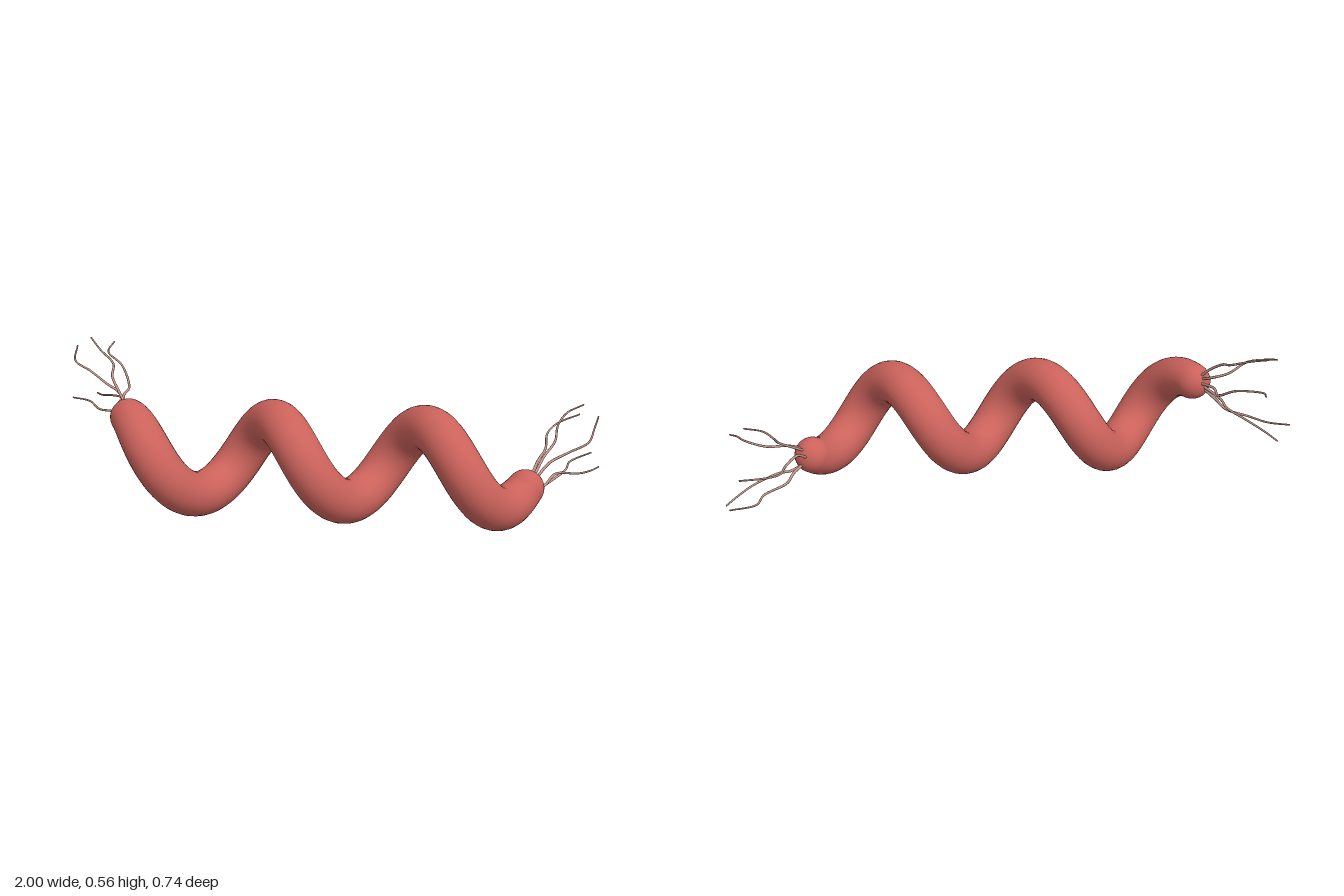
import * as THREE from 'three';

const bodyRed = new THREE.MeshStandardMaterial({ color: 0xcb625b });
bodyRed.name = 'bodyRed';
const flagellumPink = new THREE.MeshStandardMaterial({ color: 0xc4978a });
flagellumPink.name = 'flagellumPink';

// Corkscrew centre line running along x
const PITCH = 0.54, COIL = 0.135, CENTER_Y = 0.216, CENTER_Z = 0.156;
const START_X = -0.70, END_X = 0.718;
class Helix extends THREE.Curve {
  getPoint(t, target = new THREE.Vector3()) {
    const x = THREE.MathUtils.lerp(START_X, END_X, t);
    const a = 2 * Math.PI * (x + 0.155) / PITCH;
    return target.set(x, CENTER_Y + COIL * Math.cos(a), CENTER_Z + COIL * Math.sin(a));
  }
}

// Tube whose radius follows a function of the position along the curve
function taperedTube(curve, segments, sides, radiusAt) {
  const geometry = new THREE.TubeGeometry(curve, segments, 1, sides, false);
  const pos = geometry.attributes.position;
  const p = new THREE.Vector3();
  for (let i = 0; i <= segments; i++) {
    const center = curve.getPointAt(i / segments);
    const radius = radiusAt(i / segments);
    for (let j = 0; j <= sides; j++) {
      const k = i * (sides + 1) + j;
      p.fromBufferAttribute(pos, k).sub(center).multiplyScalar(radius).add(center);
      pos.setXYZ(k, p.x, p.y, p.z);
    }
  }
  return geometry;
}

function addMesh(parent, name, geometry, material) {
  const mesh = new THREE.Mesh(geometry, material);
  mesh.name = name;
  parent.add(mesh);
  return mesh;
}

// Wavy path of each flagellum, from its root inside the cap to its tip
const leftFlagella = [
  [[0.73, 0.12, 0.03], [0.76, 0.175, -0.05], [0.79, 0.19, -0.15], [0.80, 0.215, -0.26], [0.84, 0.235, -0.32], [0.92, 0.255, -0.37]],
  [[0.74, 0.10, 0.04], [0.78, 0.09, -0.02], [0.80, 0.08, -0.08], [0.87, 0.095, -0.19], [0.89, 0.10, -0.27], [0.97, 0.117, -0.33]],
  [[0.74, 0.095, 0.05], [0.79, 0.097, -0.02], [0.83, 0.12, -0.08], [0.91, 0.105, -0.13], [0.96, 0.095, -0.19], [0.995, 0.09, -0.25]],
  [[0.74, 0.14, 0.05], [0.78, 0.20, -0.03], [0.82, 0.245, -0.08], [0.83, 0.29, -0.13], [0.86, 0.33, -0.155], [0.92, 0.356, -0.18]],
  [[0.75, 0.145, 0.06], [0.80, 0.19, 0.0], [0.87, 0.215, -0.05], [0.94, 0.25, -0.07], [0.96, 0.29, -0.11], [0.975, 0.32, -0.155]]
];
const rightFlagella = [
  [[-0.72, 0.37, 0.12], [-0.76, 0.41, 0.05], [-0.81, 0.435, 0.03], [-0.87, 0.48, 0.025], [-0.935, 0.505, -0.01], [-0.95, 0.54, -0.09]],
  [[-0.71, 0.37, 0.12], [-0.75, 0.425, 0.085], [-0.785, 0.465, 0.04], [-0.80, 0.495, -0.03], [-0.86, 0.53, -0.08], [-0.91, 0.56, -0.135]],
  [[-0.72, 0.36, 0.11], [-0.755, 0.385, 0.01], [-0.755, 0.395, -0.07], [-0.80, 0.45, -0.15], [-0.875, 0.48, -0.23], [-0.87, 0.50, -0.30]],
  [[-0.73, 0.35, 0.11], [-0.78, 0.345, 0.0], [-0.79, 0.347, -0.08], [-0.84, 0.335, -0.14], [-0.90, 0.315, -0.20], [-0.935, 0.305, -0.255]],
  [[-0.73, 0.34, 0.12], [-0.77, 0.325, 0.04], [-0.80, 0.313, -0.02], [-0.87, 0.305, -0.06], [-0.93, 0.313, -0.13], [-1.0, 0.315, -0.155]]
];

export function createModel() {
  const model = new THREE.Group();
  model.name = 'spiralBacterium';

  // Coiled body, slimmer towards both ends
  const helix = new Helix();
  const bodyRadius = t => {
    const s = Math.min(1, Math.min(t, 1 - t) / 0.09);
    return 0.067 + 0.014 * s * (2 - s);
  };
  addMesh(model, 'body', taperedTube(helix, 220, 28, bodyRadius), bodyRed);

  // Rounded caps
  for (const [name, t] of [['rightCap', 0], ['leftCap', 1]]) {
    const cap = addMesh(model, name, new THREE.SphereGeometry(0.067, 28, 20), bodyRed);
    cap.position.copy(helix.getPoint(t));
  }

  // Tufts of thin flagella
  for (const [side, paths] of [['left', leftFlagella], ['right', rightFlagella]]) {
    const tuft = new THREE.Group();
    tuft.name = side + 'Flagella';
    paths.forEach((path, i) => {
      const curve = new THREE.CatmullRomCurve3(path.map(p => new THREE.Vector3(...p)));
      const geometry = taperedTube(curve, 40, 8, t => 0.0055 - 0.0025 * t);
      addMesh(tuft, side + 'Flagellum' + (i + 1), geometry, flagellumPink);
      // Rounded tip
      const tip = addMesh(tuft, side + 'FlagellumTip' + (i + 1), new THREE.SphereGeometry(0.003, 8, 6), flagellumPink);
      tip.position.set(...path[path.length - 1]);
    });
    model.add(tuft);
  }
  return model;
}
